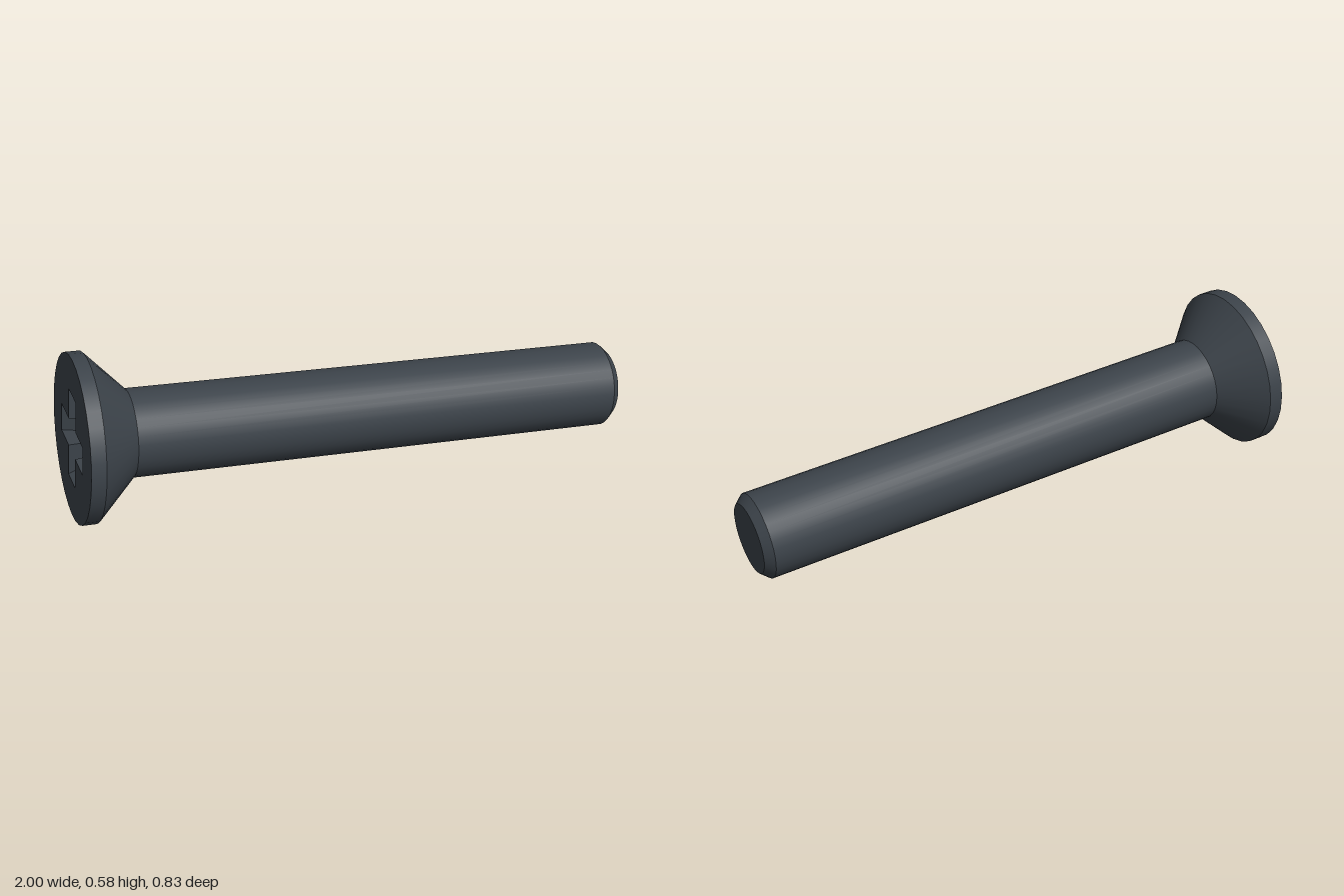
import * as THREE from 'three';

const SIDES = 32;
const HEAD_R = 0.288, SHAFT_R = 0.15, TIP_R = 0.123;
const LENGTH = 1.957, RIM = 0.05, CONE = 0.138, CHAMFER = 0.03;
const DEPTH = 0.12;

// twelve corners of a plus sign, counter-clockwise
function crossPoints(reach, half) {
  const pts = [];
  for (let k = 0; k < 4; k++) {
    for (const [x, y] of [[half, -half], [reach, -half], [reach, half]]) {
      pts.push(new THREE.Vector2(x, y).rotateAround(new THREE.Vector2(), k * Math.PI / 2));
    }
  }
  return pts;
}

// flat plate facing +y
function plate(shape, y) {
  return new THREE.ShapeGeometry(shape).rotateX(-Math.PI / 2).translate(0, y, 0);
}

export function createModel() {
  const model = new THREE.Group();
  const steel = new THREE.MeshStandardMaterial({ color: 0x3c434a });
  steel.name = 'dark steel';

  const screw = new THREE.Group();
  screw.name = 'screw';
  model.add(screw);
  const add = (name, geometry) => {
    const mesh = new THREE.Mesh(geometry, steel);
    mesh.name = name;
    screw.add(mesh);
  };

  // turned surfaces, separate so that the edges between them stay sharp
  const turned = [
    ['tipFace', 0, -LENGTH, TIP_R, -LENGTH],
    ['tipChamfer', TIP_R, -LENGTH, SHAFT_R, -LENGTH + CHAMFER],
    ['shaft', SHAFT_R, -LENGTH + CHAMFER, SHAFT_R, -RIM - CONE],
    ['headCone', SHAFT_R, -RIM - CONE, HEAD_R, -RIM],
    ['headRim', HEAD_R, -RIM, HEAD_R, 0],
  ];
  for (const [name, r0, y0, r1, y1] of turned) {
    add(name, new THREE.LatheGeometry([new THREE.Vector2(r0, y0), new THREE.Vector2(r1, y1)], SIDES));
  }

  // head face with the cross-shaped opening
  const upper = crossPoints(0.16, 0.05);
  const lower = crossPoints(0.1, 0.04);
  const disc = [];
  for (let i = 0; i < SIDES; i++) {
    const a = i / SIDES * Math.PI * 2;
    disc.push(new THREE.Vector2(HEAD_R * Math.cos(a), HEAD_R * Math.sin(a)));
  }
  const face = new THREE.Shape(disc);
  face.holes.push(new THREE.Path([...upper].reverse()));
  add('headFace', plate(face, 0));

  // tapering walls and floor of the drive recess
  const walls = [];
  upper.forEach((a, i) => {
    const j = (i + 1) % upper.length;
    const at = [a.x, 0, -a.y], bt = [upper[j].x, 0, -upper[j].y];
    const ab = [lower[i].x, -DEPTH, -lower[i].y], bb = [lower[j].x, -DEPTH, -lower[j].y];
    walls.push(...at, ...bt, ...bb, ...at, ...bb, ...ab);
  });
  const wallGeometry = new THREE.BufferGeometry();
  wallGeometry.setAttribute('position', new THREE.Float32BufferAttribute(walls, 3));
  wallGeometry.computeVertexNormals();
  add('recessWalls', wallGeometry);
  add('recessFloor', plate(new THREE.Shape(lower), -DEPTH));

  // lay the screw down: the head points to -x, rim and tip both touch the ground
  const out = new THREE.Vector3(-0.9754, 0.0707, -0.2085).normalize();
  const side = new THREE.Vector3(0, 1, 0).cross(out).normalize();
  const third = new THREE.Vector3().crossVectors(side, out);
  screw.quaternion.setFromRotationMatrix(new THREE.Matrix4().makeBasis(side, out, third));
  screw.position.set(-0.9365, 0.2908, -0.1334);
  return model;
}
